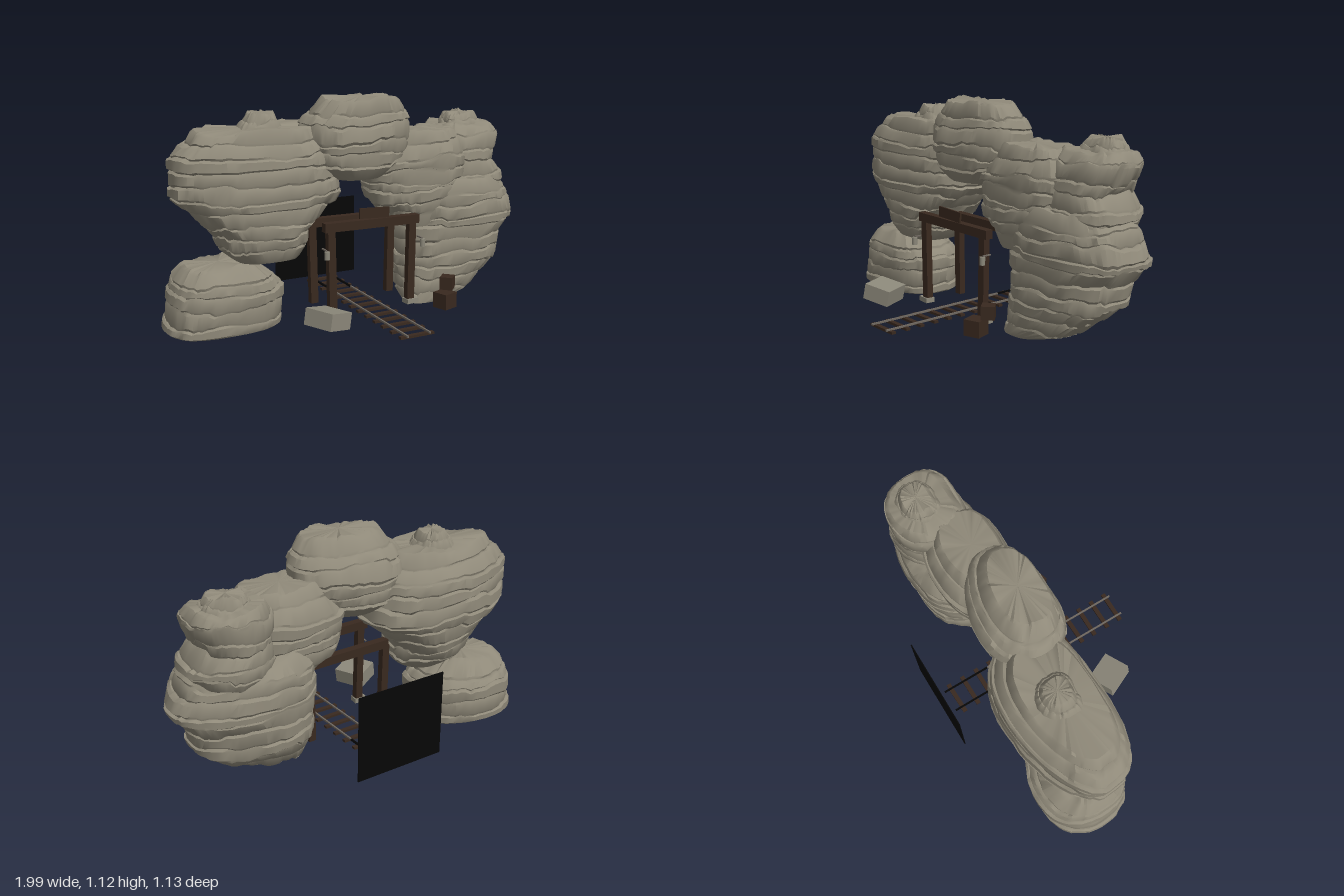
import * as THREE from 'three';
import { toCreasedNormals } from 'three/addons/utils/BufferGeometryUtils.js';

const mat = (name, color) => {
  const m = new THREE.MeshStandardMaterial({ color });
  m.name = name;
  return m;
};

// repeatable noise in -1..1
const hash = (a, b, c) => {
  const s = Math.sin(a * 127.1 + b * 311.7 + c * 74.7) * 43758.5453;
  return (s - Math.floor(s)) * 2 - 1;
};

// width and depth limits of a rock at height y; rows are [y, xMin, xMax, zMin, zMax]
function sampleRow(rows, y) {
  let i = 0;
  while (i < rows.length - 2 && y > rows[i + 1][0]) i++;
  const a = rows[i], b = rows[i + 1];
  const t = THREE.MathUtils.clamp((y - a[0]) / (b[0] - a[0]), 0, 1);
  return a.map((v, k) => v + (b[k] - v) * t);
}

// layered rock: broken slabs with shallow ragged joints, flatter at the front;
// skew makes the back deeper towards +x (positive) or -x (negative)
function rockGeometry(rows, skew, seed) {
  const N = 64, yMin = rows[0][0], yMax = rows[rows.length - 1][0];
  const layers = Math.max(2, Math.round((yMax - yMin) / 0.062));
  const rings = [];
  const joint = (k) => {
    const edge = k === 0 || k === layers;
    return yMin + ((k + (edge ? 0 : 0.25 * hash(k, seed, 3))) / layers) * (yMax - yMin);
  };
  const jag = (k, i) => (k === 0 ? 0
    : 0.01 * hash(Math.floor(i / 4), k, seed) + 0.005 * hash(i, k, seed) + 0.006 * Math.sin(i * 0.3 + k * 2 + seed));
  for (let k = 0; k < layers; k++) {
    const y0 = joint(k), y1 = joint(k + 1), grow = 0.012 * hash(k, seed, 9);
    for (const [t, inset] of [[0, 1], [0.16, 0], [0.84, 0], [1, 1]]) {
      const ring = [];
      for (let i = 0; i < N; i++) {
        const y = y0 + (y1 - y0) * t + jag(k, i) * (1 - t) + jag(k + 1, i) * t;
        const [, xa, xb, za, zb] = sampleRow(rows, y0 + (y1 - y0) * (0.1 + 0.8 * t));
        const a = (i / N) * Math.PI * 2, c = Math.cos(a), d = Math.sin(a);
        const chunk = Math.floor((i + 3 * hash(k, seed, 1) + 1.5 * Math.sin(i * 0.7 + k)) / 5 + 13) % 13;
        const slab = hash(chunk, k, seed);
        const f = 1 + grow + 0.022 * slab + 0.012 * Math.sin(a * 3 + seed * 2)
          + 0.006 * hash(i, k, seed + 5) - inset * (0.03 + 0.018 * slab);
        const e = d > 0 ? 0.7 : 0.95;
        const px = Math.sign(c) * Math.abs(c) ** e, pz = Math.sign(d) * Math.abs(d) ** e;
        const back = d < 0 ? 1 + skew * px : 1;
        ring.push([(xa + xb) / 2 + (xb - xa) / 2 * px * f, y, (za + zb) / 2 + (zb - za) / 2 * pz * f * back]);
      }
      rings.push(ring);
    }
  }
  const pos = [];
  const tri = (...p) => p.forEach((v) => pos.push(...v));
  const middle = (r, y) => [r.reduce((s, p) => s + p[0], 0) / N, y, r.reduce((s, p) => s + p[2], 0) / N];
  const low = rings[0], top = rings[rings.length - 1];
  const cLow = middle(low, yMin), cTop = middle(top, yMax + 0.006);
  for (let i = 0; i < N; i++) {
    const j = (i + 1) % N;
    for (let r = 0; r < rings.length - 1; r++) {
      const a = rings[r], b = rings[r + 1];
      tri(a[i], b[i], a[j]);
      tri(a[j], b[i], b[j]);
    }
    tri(cLow, low[i], low[j]);
    tri(cTop, top[j], top[i]);
  }
  const g = new THREE.BufferGeometry();
  g.setAttribute('position', new THREE.Float32BufferAttribute(pos, 3));
  return toCreasedNormals(g, 0.6);
}

export function createModel() {
  const model = new THREE.Group();
  const rock = mat('rock', 0x8f8979);
  const stone = mat('cut stone', 0x8c887a);
  const wood = mat('dark wood', 0x39291f);
  const metal = mat('rail metal', 0x6e675f);
  const black = mat('darkness', 0x060606);

  const add = (name, geometry, material, [x, y, z], [rx, ry, rz] = [0, 0, 0], parent = model) => {
    const m = new THREE.Mesh(geometry, material);
    m.name = name;
    m.position.set(x, y, z);
    m.rotation.set(rx, ry, rz);
    parent.add(m);
  };
  const box = (w, h, d) => new THREE.BoxGeometry(w, h, d);

  // rock arch
  const addRock = (name, seed, skew, ...rows) => add(name, rockGeometry(rows, skew, seed), rock, [0, 0, 0]);
  addRock('lowerLeftRock', 1, -0.08, [0, -1, -0.42, -0.39, 0.05], [0.18, -0.97, -0.4, -0.41, 0.06],
    [0.28, -0.94, -0.48, -0.35, 0.04], [0.32, -0.88, -0.57, -0.28, -0.02]);
  addRock('upperLeftRock', 2, 0.18, [0.33, -0.64, -0.33, -0.24, 0.02], [0.38, -0.71, -0.28, -0.31, 0.05],
    [0.47, -0.74, -0.27, -0.36, 0.07], [0.64, -0.93, -0.08, -0.41, 0.08], [0.84, -0.93, -0.1, -0.39, 0.06],
    [0.97, -0.82, -0.2, -0.3, 0.01]);
  addRock('leftCap', 3, 0, [0.95, -0.62, -0.36, -0.27, -0.05], [1.04, -0.54, -0.42, -0.22, -0.1]);
  addRock('centreRock', 4, -0.12, [0.7, -0.12, 0.1, -0.2, 0.05], [0.76, -0.25, 0.24, -0.29, 0.09],
    [0.92, -0.3, 0.3, -0.31, 0.1], [0.99, -0.29, 0.29, -0.27, 0.08], [1.1, -0.18, 0.21, -0.17, 0.05]);
  addRock('innerRightRock', 5, 0, [0.42, 0.25, 0.42, -0.18, 0.04], [0.58, 0.08, 0.62, -0.31, 0.08],
    [0.78, 0.06, 0.65, -0.33, 0.08], [0.92, 0.18, 0.57, -0.23, 0.02]);
  addRock('upperRightRock', 6, 0, [0.48, 0.52, 0.84, -0.32, 0.04], [0.64, 0.47, 0.92, -0.39, 0.04],
    [0.73, 0.49, 0.84, -0.37, 0.02], [0.87, 0.49, 0.9, -0.38, -0.01], [0.92, 0.53, 0.86, -0.35, -0.06]);
  addRock('rightCap', 7, 0, [0.9, 0.58, 0.84, -0.32, -0.1], [0.97, 0.63, 0.79, -0.28, -0.15]);
  addRock('lowerRightRock', 8, -0.1, [0, 0.28, 0.46, -0.1, 0.05], [0.04, 0.27, 0.66, -0.22, 0.06],
    [0.2, 0.26, 0.87, -0.36, 0.07], [0.36, 0.26, 0.91, -0.38, 0.07], [0.42, 0.26, 0.99, -0.4, 0.08],
    [0.58, 0.26, 0.92, -0.39, 0.08], [0.65, 0.34, 0.84, -0.33, 0.05]);

  // two timber frames supporting the entrance, the rear one lower and narrower
  for (const [name, z, beamY, beamW] of [['frontFrame', 0.1, 0.49, 0.53], ['rearFrame', -0.12, 0.466, 0.48]]) {
    const frame = new THREE.Group();
    frame.name = name;
    frame.position.z = z;
    model.add(frame);
    const h = beamY - 0.05;
    for (const s of [-1, 1]) {
      add('post', box(0.04, h, 0.035), wood, [s * 0.225, 0.045 + h / 2, 0], [0, 0, s * -0.02], frame);
    }
    add('lintel', box(beamW, 0.045, 0.042), wood, [0, beamY, 0], [0, 0, -0.015], frame);
  }
  for (const s of [-1, 1]) add('footing', box(0.07, 0.025, 0.05), stone, [s * 0.23, 0.053, 0.1], [0, s * 0.1, 0]);
  add('signBoard', box(0.165, 0.052, 0.01), wood, [0, 0.547, 0.127], [0, 0, -0.05]);

  // lanterns hung beside the posts
  for (const s of [-1, 1]) {
    add('lanternHook', box(0.008, 0.006, 0.05), metal, [s * 0.27, 0.389, 0.12]);
    add('lantern', new THREE.CylinderGeometry(0.014, 0.014, 0.04, 8), stone, [s * 0.27, 0.366, 0.147]);
  }

  // dark backdrop of the tunnel
  add('tunnelDarkness', box(0.49, 0.44, 0.005), black, [0, 0.26, -0.565]);

  // track, its far end lost in darkness
  for (const s of [-1, 1]) {
    add('rail', box(0.009, 0.009, 0.81), metal, [s * 0.06, 0.054, 0.16]);
    add('darkRail', box(0.009, 0.009, 0.27), black, [s * 0.06, 0.054, -0.38]);
  }
  for (let i = 0; i < 13; i++) {
    add('sleeper', box(0.18, 0.012, 0.024), wood, [0, 0.045, 0.54 - i * 0.0845], [0, 0.03 * hash(i, 2, 4), 0]);
  }

  // crates and a fallen block
  add('lowerCrate', box(0.085, 0.08, 0.085), wood, [0.345, 0.081, 0.25], [0, 0.3, 0]);
  add('upperCrate', box(0.065, 0.066, 0.065), wood, [0.385, 0.155, 0.208], [0, 0.75, 0]);
  add('fallenBlock', box(0.145, 0.082, 0.165), stone, [-0.34, 0.106, 0.295], [0, 0.42, -0.2]);

  return model;
}
